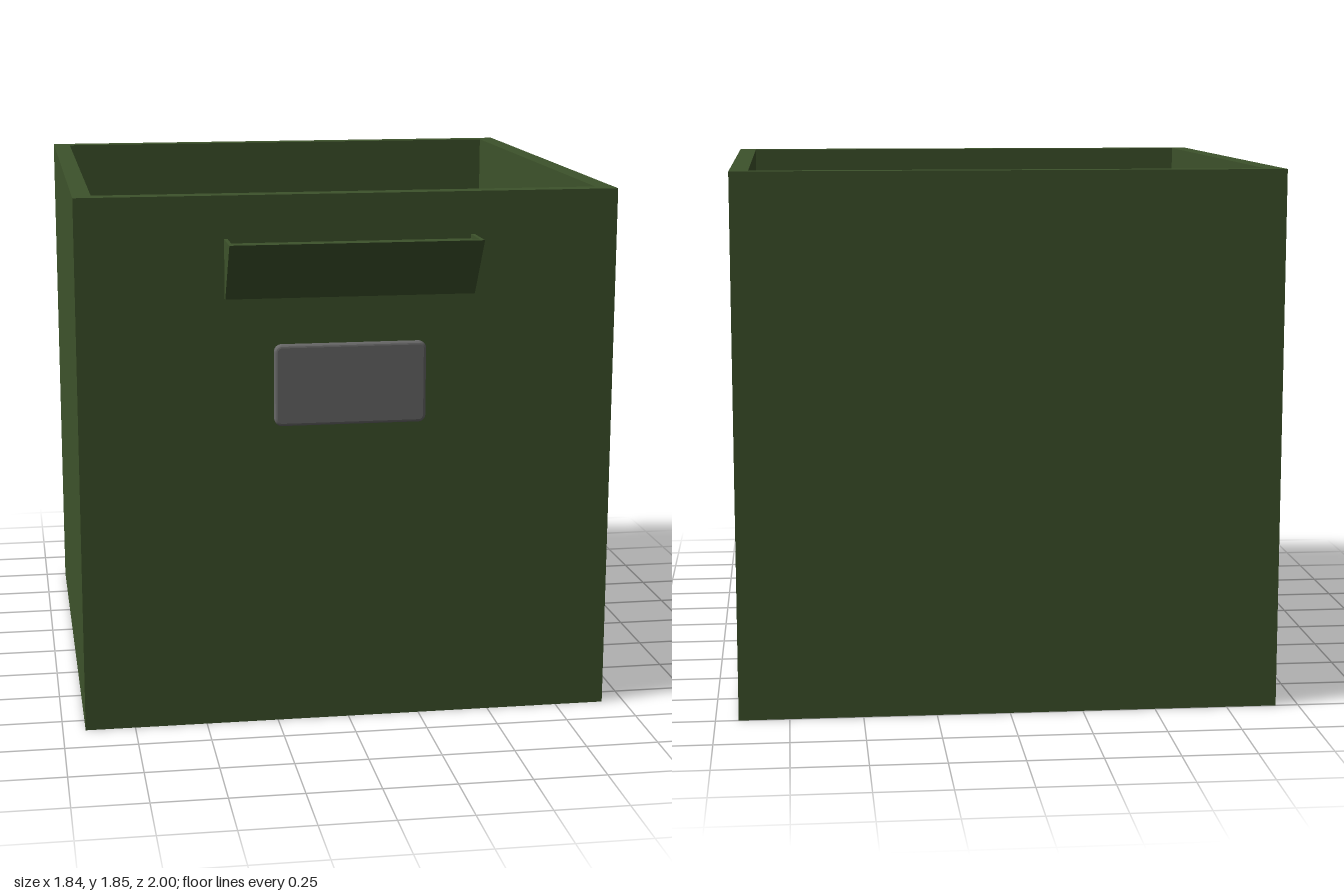
import * as THREE from 'three';

const HALF = 0.922, BACK = -1, FRONT = 0.845, HEIGHT = 1.845, WALL = 0.063;

// Rectangle outline, counter-clockwise, usable as shape or hole
function rect(Type, x0, y0, x1, y1) {
  return new Type([[x0, y0], [x1, y0], [x1, y1], [x0, y1]].map(p => new THREE.Vector2(...p)));
}

function roundedRect(w, h, r) {
  const s = new THREE.Shape();
  s.absarc(w / 2 - r, h / 2 - r, r, 0, Math.PI / 2);
  s.absarc(-w / 2 + r, h / 2 - r, r, Math.PI / 2, Math.PI);
  s.absarc(-w / 2 + r, -h / 2 + r, r, Math.PI, Math.PI * 1.5);
  s.absarc(w / 2 - r, -h / 2 + r, r, Math.PI * 1.5, Math.PI * 2);
  s.closePath();
  return s;
}

// Extrudes a (z, y) profile along x, centred on the given x
function profileAlongX(points, width, x = 0) {
  const shape = new THREE.Shape(points.map(p => new THREE.Vector2(...p)));
  const g = new THREE.ExtrudeGeometry(shape, { depth: width, bevelEnabled: false });
  return g.translate(0, 0, -width / 2).rotateY(-Math.PI / 2).translate(x, 0, 0);
}

export function createModel() {
  const green = new THREE.MeshStandardMaterial({ name: 'darkGreen', color: 0x3d522b });
  const grey = new THREE.MeshStandardMaterial({ name: 'labelGrey', color: 0x686868 });
  const model = new THREE.Group();
  model.name = 'storageBin';
  const add = (parent, name, geometry, material) => {
    const mesh = new THREE.Mesh(geometry, material);
    mesh.name = name;
    parent.add(mesh);
    return mesh;
  };

  // Four walls as one open square tube
  const outline = rect(THREE.Shape, -HALF, -FRONT, HALF, -BACK);
  outline.holes.push(rect(THREE.Path, -HALF + WALL, -FRONT + WALL, HALF - WALL, -BACK - WALL));
  const walls = new THREE.ExtrudeGeometry(outline, { depth: HEIGHT, bevelEnabled: false });
  add(model, 'walls', walls.rotateX(-Math.PI / 2), green);

  // Floor between the walls
  const floor = new THREE.BoxGeometry(2 * (HALF - WALL), WALL, FRONT - BACK - 2 * WALL);
  add(model, 'floor', floor.translate(0, WALL / 2, (FRONT + BACK) / 2), green);

  // Wedge handle: recessed top between two thin end plates
  const handle = new THREE.Group();
  handle.name = 'handle';
  model.add(handle);
  const halfWidth = 0.425, plate = 0.012;
  add(handle, 'handleWedge', profileAlongX([
    [FRONT, 1.5], [0.865, 1.5], [1, 1.7], [0.98, 1.7], [0.97, 1.685], [FRONT, 1.685],
  ], 2 * (halfWidth - plate)), green);
  for (const side of [-1, 1]) {
    add(handle, side > 0 ? 'handleEndLeft' : 'handleEndRight', profileAlongX([
      [FRONT, 1.5], [0.865, 1.5], [1, 1.7], [FRONT, 1.7],
    ], plate, side * (halfWidth - plate / 2)), green);
  }

  // Label plate with softly rounded rim
  const bevel = 0.01;
  const label = new THREE.ExtrudeGeometry(roundedRect(0.52 - 2 * bevel, 0.28 - 2 * bevel, 0.015), {
    depth: 0.015, bevelEnabled: true, bevelSize: bevel, bevelThickness: bevel, bevelSegments: 3, curveSegments: 5,
  });
  add(model, 'labelPlate', label.translate(0, 1.2, FRONT), grey);

  return model;
}
